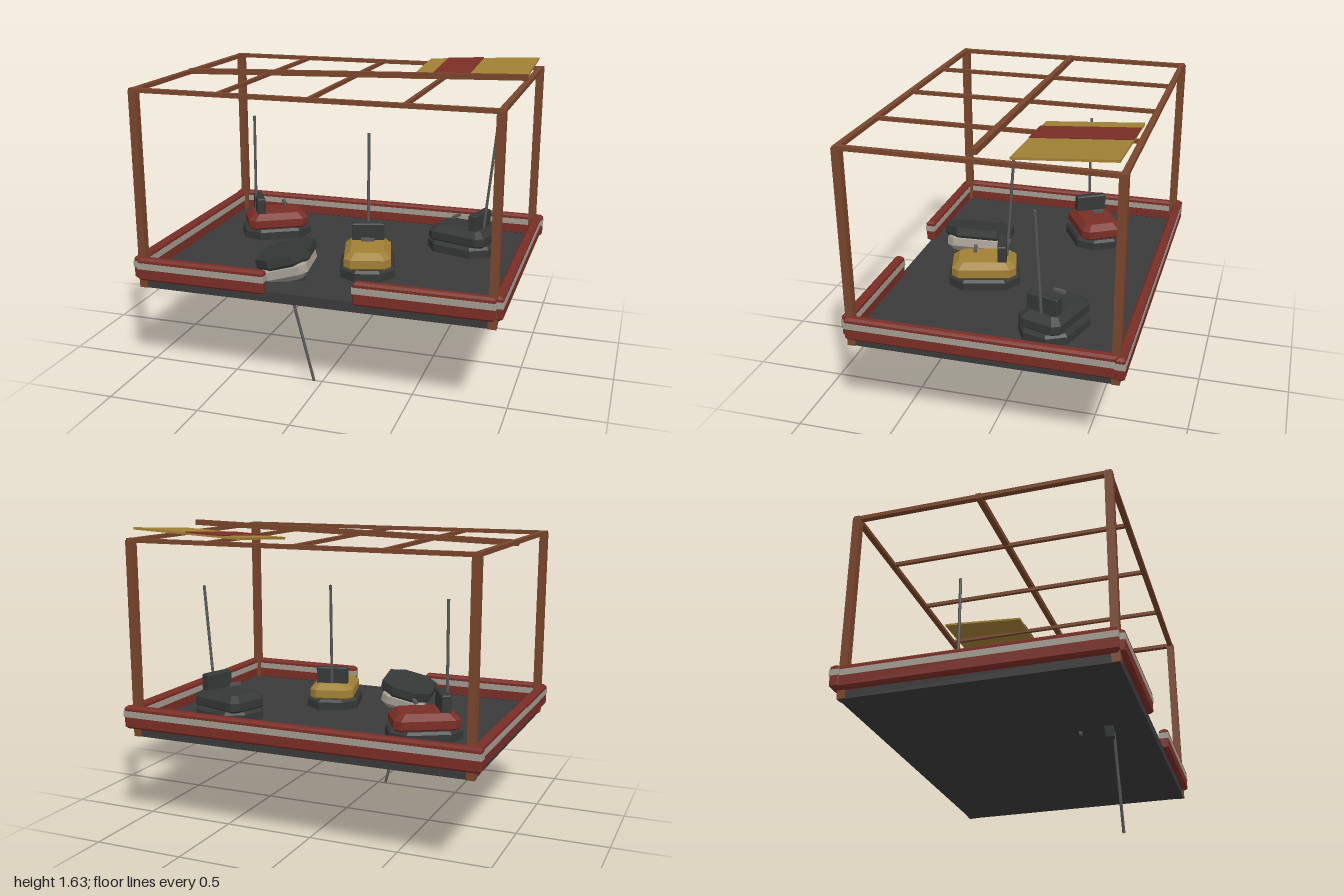
import * as THREE from 'three';

const paint = (name, color) => {
  const m = new THREE.MeshStandardMaterial({ color });
  m.name = name;
  return m;
};
const red = paint('dark red', 0x7a2e26);
const gold = paint('old gold', 0xa08035);
const wood = paint('brown wood', 0x7a462c);
const dark = paint('charcoal', 0x3a3a3a);
const rubber = paint('bumper black', 0x363838);
const steel = paint('steel', 0x585858);
const pale = paint('pale grey', 0xa39d92);

function add(parent, name, geometry, material, x = 0, y = 0, z = 0) {
  const mesh = new THREE.Mesh(geometry, material);
  mesh.name = name;
  mesh.position.set(x, y, z);
  parent.add(mesh);
  return mesh;
}
const box = (parent, name, material, w, h, d, x, y, z) =>
  add(parent, name, new THREE.BoxGeometry(w, h, d), material, x, y, z);

// Solid of stacked octagons; each section is [y, half width, half length, corner cut]
function octagonLoft(sections) {
  const pos = [], idx = [];
  for (const [y, w, l, c] of sections) {
    const ring = [[w - c, l], [w, l - c], [w, c - l], [w - c, -l],
      [c - w, -l], [-w, c - l], [-w, l - c], [c - w, l]];
    for (const [x, z] of ring) pos.push(x, y, z);
  }
  const top = (sections.length - 1) * 8;
  for (let s = 0; s < top; s += 8) {
    for (let i = 0; i < 8; i++) {
      const j = (i + 1) % 8;
      idx.push(s + i, s + j, s + j + 8, s + i, s + j + 8, s + i + 8);
    }
  }
  for (let i = 1; i < 7; i++) idx.push(0, i + 1, i, top, top + i, top + i + 1);
  const g = new THREE.BufferGeometry();
  g.setAttribute('position', new THREE.Float32BufferAttribute(pos, 3));
  g.setIndex(idx);
  const flat = g.toNonIndexed();
  flat.computeVertexNormals();
  return flat;
}

// Box with its long edges and ends cut at an angle
function chamferedBox(w, h, d, c) {
  return octagonLoft([
    [-h / 2, w / 2 - c, d / 2 - c, c / 2],
    [-h / 2 + c, w / 2, d / 2, c / 2],
    [h / 2 - c, w / 2, d / 2, c / 2],
    [h / 2, w / 2 - c, d / 2 - c, c / 2],
  ]);
}

// Round rod between two points
function rod(parent, name, material, a, b, r) {
  const dir = b.clone().sub(a);
  const m = add(parent, name, new THREE.CylinderGeometry(r, r, dir.length(), 8), material);
  m.position.copy(a).lerp(b, 0.5);
  m.quaternion.setFromUnitVectors(new THREE.Vector3(0, 1, 0), dir.normalize());
  return m;
}

// Bumper car facing +z, standing on y = 0; lean shifts the pole tip backwards
function bumperCar(name, bodyPaint, lean) {
  const car = new THREE.Group();
  car.name = name;
  add(car, 'bumper', octagonLoft([
    [0, 0.147, 0.196, 0.08], [0.045, 0.147, 0.196, 0.08], [0.06, 0.135, 0.184, 0.075],
  ]), rubber);
  add(car, 'body', octagonLoft([
    [0.05, 0.11, 0.16, 0.03], [0.068, 0.125, 0.177, 0.035],
    [0.112, 0.125, 0.177, 0.035], [0.145, 0.09, 0.14, 0.025],
  ]), bodyPaint);
  add(car, 'seatBack', chamferedBox(0.18, 0.1, 0.05, 0.006), rubber, 0, 0.187, -0.1);
  box(car, 'steeringBar', steel, 0.07, 0.016, 0.018, 0, 0.188, 0.05);
  rod(car, 'pole', steel, new THREE.Vector3(0, 0.1, -0.122),
    new THREE.Vector3(0, 0.722, -0.122 - lean), 0.008);
  return car;
}

// Padded wall with a pale band round it
function wall(parent, name, w, d, x, z) {
  const g = new THREE.Group();
  g.name = name;
  g.position.set(x, 0.628, z);
  add(g, 'wallPad', chamferedBox(w, 0.125, d, 0.012), red);
  box(g, 'wallStripe', pale, w + 0.004, 0.034, d + 0.004, 0, 0.019, 0);
  parent.add(g);
}

export function createModel() {
  const model = new THREE.Group();
  model.name = 'bumperCarArena';

  // Floor
  box(model, 'floor', dark, 1.9, 0.055, 1.39, 0, 0.5475, 0);

  // Walls, with an opening in the middle of the front
  wall(model, 'backWall', 1.99, 0.05, 0, -0.705);
  for (const s of [-1, 1]) {
    wall(model, s > 0 ? 'leftWall' : 'rightWall', 0.05, 1.4, s * 0.96, 0);
    wall(model, s > 0 ? 'frontWallLeft' : 'frontWallRight', 0.715, 0.05, s * 0.595, 0.7);
  }

  // Posts and roof frame
  for (const x of [-0.935, 0.935]) {
    for (const z of [-0.68, 0.68]) box(model, 'post', wood, 0.042, 1.06, 0.042, x, 1.05, z);
    box(model, 'sideBeam', wood, 0.03, 0.022, 1.39, x, 1.579, 0);
  }
  for (const z of [-0.68, 0.68]) box(model, 'longBeam', wood, 1.91, 0.022, 0.03, 0, 1.579, z);
  for (const x of [-0.478, 0, 0.478]) box(model, 'crossBeam', wood, 0.02, 0.02, 1.36, x, 1.579, 0);

  // Loose middle beam, lifted at one end
  const ridge = box(model, 'looseBeam', wood, 1.91, 0.03, 0.03, 0, 1.603, 0);
  ridge.rotation.z = 0.028;

  // Remaining roof panel with a red stripe on top
  const panel = new THREE.Group();
  panel.name = 'roofPanel';
  panel.position.set(0.612, 1.605, -0.41);
  panel.rotation.set(0.07, 0, 0.052);
  box(panel, 'panelSheet', gold, 0.635, 0.012, 0.5, 0, 0, 0);
  box(panel, 'panelStripe', red, 0.21, 0.006, 0.502, -0.107, 0.007, 0);
  model.add(panel);

  // Three standing cars: name, paint, x, z, heading, pole lean
  const cars = [
    ['goldCar', gold, 0.17, 0.22, 0.27, 0.045],
    ['redCar', red, -0.55, -0.255, 2.09, -0.005],
    ['blackCar', rubber, 0.595, -0.29, -1.876, 0.065],
  ];
  for (const [name, material, x, z, heading, lean] of cars) {
    const car = bumperCar(name, material, lean);
    car.position.set(x, 0.575, z);
    car.rotation.y = heading;
    model.add(car);
  }

  // Overturned car with its pole through the floor
  const flipped = bumperCar('overturnedCar', pale, 0);
  const up = new THREE.Vector3(0.25, -0.968, 0.01).normalize();
  const side = up.clone().cross(new THREE.Vector3(-0.18, 0, -0.98)).normalize();
  const forward = side.clone().cross(up);
  flipped.quaternion.setFromRotationMatrix(new THREE.Matrix4().makeBasis(side, up, forward));
  flipped.position.set(-0.245, 0.705, 0.38);
  model.add(flipped);

  return model;
}
